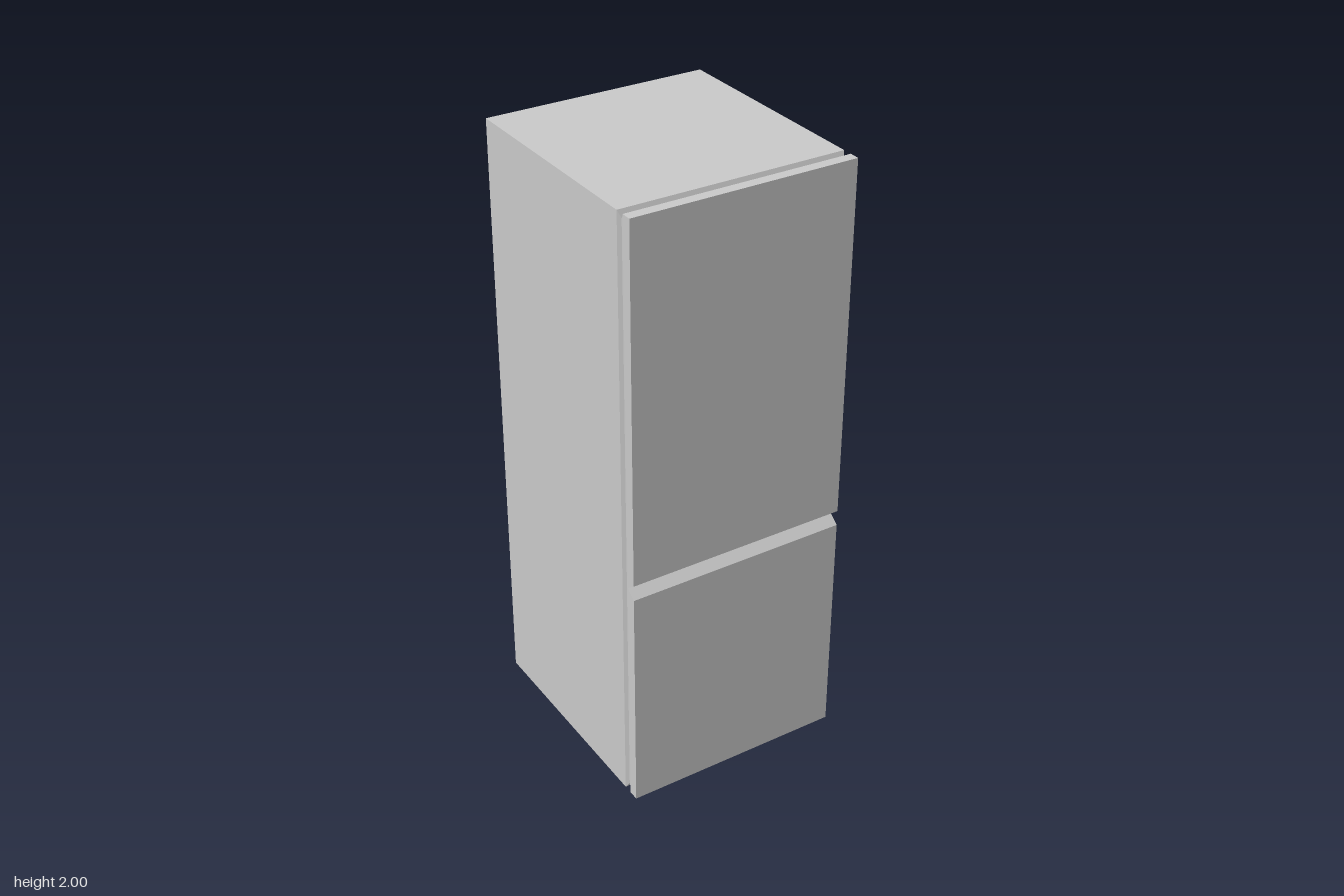
import * as THREE from 'three';

// Lofts a closed block through rectangles [z, halfWidth, bottom, top], ordered back to front
function loftBlock(sections) {
  const rings = sections.map(([z, w, y0, y1]) => [[-w, y0, z], [w, y0, z], [w, y1, z], [-w, y1, z]]);
  const pos = [];
  const quad = (a, b, c, d) => pos.push(...a, ...b, ...c, ...a, ...c, ...d);
  const back = rings[0];
  const front = rings[rings.length - 1];
  quad(back[0], back[3], back[2], back[1]);
  quad(front[0], front[1], front[2], front[3]);
  for (let i = 0; i < rings.length - 1; i++) {
    const a = rings[i];
    const b = rings[i + 1];
    for (let k = 0; k < 4; k++) {
      const n = (k + 1) % 4;
      quad(a[k], a[n], b[n], b[k]);
    }
  }
  const geometry = new THREE.BufferGeometry();
  geometry.setAttribute('position', new THREE.Float32BufferAttribute(pos, 3));
  geometry.computeVertexNormals();
  return geometry;
}

export function createModel() {
  const group = new THREE.Group();
  const grey = new THREE.MeshStandardMaterial({ color: 0xc8c8c8 });
  grey.name = 'greyMetal';

  const add = (name, sections) => {
    const mesh = new THREE.Mesh(loftBlock(sections), grey);
    mesh.name = name;
    group.add(mesh);
  };

  const W = 0.368; // half width
  const H = 2; // height
  const SPLIT = 0.8; // height where the doors meet
  const GRIP = 0.026; // half height of the grip groove

  // Cabinet with a chamfered front rim
  add('cabinet', [[-0.4, W, 0, H], [0.336, W, 0, H], [0.348, W - 0.008, 0.02, H - 0.02]]);

  // Recessed seal between cabinet and doors
  add('doorSeal', [[0.347, W - 0.008, 0.021, H - 0.021], [0.355, W - 0.008, 0.021, H - 0.021]]);

  // Doors: chamfered back rim, and a slope along the split forming the grip groove
  add('upperDoor', [
    [0.354, W - 0.006, SPLIT, H - 0.018],
    [0.366, W, SPLIT, H],
    [0.4, W, SPLIT + GRIP, H],
  ]);
  add('lowerDoor', [
    [0.354, W - 0.006, 0.018, SPLIT],
    [0.366, W, 0, SPLIT],
    [0.4, W, 0, SPLIT - GRIP],
  ]);

  return group;
}
